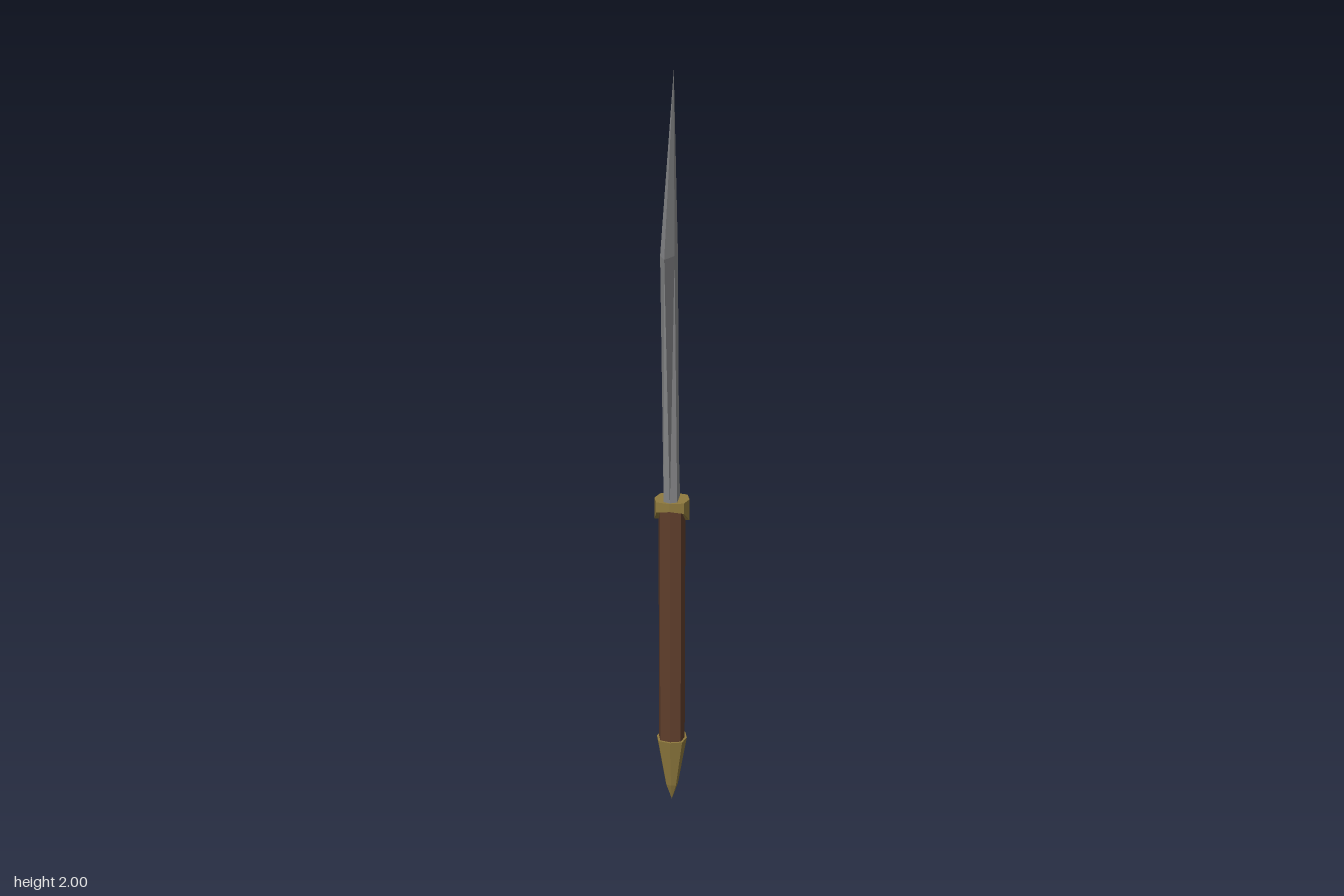
import * as THREE from 'three';

const AXIS_Z = -0.048;

// Skins a list of equal-length rings (counter-clockwise seen from above, bottom to top) with closed ends.
function loft(rings) {
  const pos = [];
  const tri = (a, b, c) => {
    const area = b.clone().sub(a).cross(c.clone().sub(a)).length();
    if (area > 1e-9) for (const p of [a, b, c]) pos.push(p.x, p.y, p.z);
  };
  const n = rings[0].length;
  for (let k = 0; k < rings.length - 1; k++) {
    const lo = rings[k], hi = rings[k + 1];
    for (let i = 0; i < n; i++) {
      const j = (i + 1) % n;
      tri(lo[i], lo[j], hi[j]);
      tri(lo[i], hi[j], hi[i]);
    }
  }
  const first = rings[0], last = rings[rings.length - 1];
  for (let i = 1; i < n - 1; i++) {
    tri(first[0], first[i + 1], first[i]);
    tri(last[0], last[i], last[i + 1]);
  }
  const geo = new THREE.BufferGeometry();
  geo.setAttribute('position', new THREE.Float32BufferAttribute(pos, 3));
  geo.computeVertexNormals();
  return geo;
}

// Squarish octagon around the handle axis; y may vary with the corner index.
function octagon(r, y) {
  return Array.from({ length: 8 }, (_, i) => {
    const a = (i * Math.PI) / 4;
    const d = i % 2 ? r * 1.11 : r;
    const h = typeof y === 'function' ? y(i) : y;
    return new THREE.Vector3(Math.sin(a) * d, h, AXIS_Z + Math.cos(a) * d);
  });
}

// Blade section: cutting edge, two ridges per side, and a spine of half-width spineX.
function bladeRing(y, halfX, edgeZ, frontZ, rearZ, spineX, spineZ) {
  return [
    [0, edgeZ], [halfX, frontZ], [halfX, rearZ], [spineX, spineZ],
    [-spineX, spineZ], [-halfX, rearZ], [-halfX, frontZ],
  ].map(([x, z]) => new THREE.Vector3(x, y, z));
}

export function createModel() {
  const group = new THREE.Group();
  const add = (name, color, rings) => {
    const material = new THREE.MeshStandardMaterial({ color, flatShading: true });
    const mesh = new THREE.Mesh(loft(rings), material);
    mesh.name = name;
    group.add(mesh);
  };
  const brass = 0x8f7a3e;

  // Pointed end cap
  add('pommel', brass, [
    octagon(0, 0), octagon(0.017, 0.05), octagon(0.042, 0.195),
  ]);

  // Wooden handle
  add('grip', 0x5e3d2b, [octagon(0.036, 0.19), octagon(0.036, 0.885)]);

  // Collar whose lower rim drops from front to back
  const rim = [0.873, 0.866, 0.836, 0.834, 0.8];
  const rimY = (i) => rim[Math.min(i, 8 - i)];
  add('collar', brass, [
    octagon(0.03, rimY), octagon(0.047, rimY), octagon(0.047, 0.895),
  ]);

  // Blade: square spine at the base, sharp on both sides at the belly, then a point
  add('blade', 0x8c8d8f, [
    bladeRing(0.885, 0.018, -0.008, -0.018, -0.061, 0.018, -0.077),
    bladeRing(1.56, 0.018, 0.095, 0.04, -0.024, 0, -0.077),
    bladeRing(2, 0, -0.077, -0.077, -0.077, 0, -0.077),
  ]);

  return group;
}
